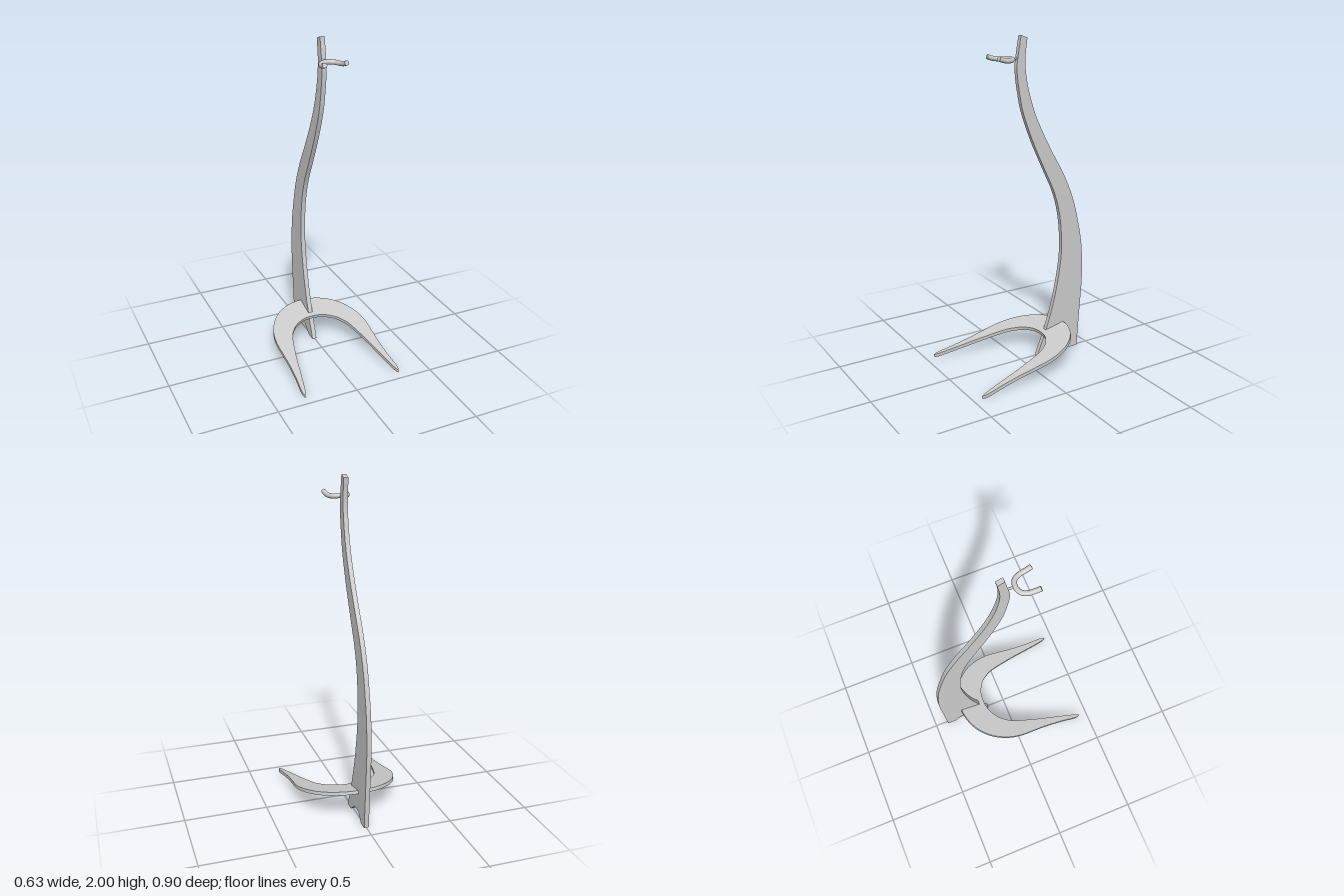
import * as THREE from 'three';
import { toCreasedNormals } from 'three/addons/utils/BufferGeometryUtils.js';

const material = new THREE.MeshStandardMaterial({ color: 0xcccccc });
const vecs = (pts) => pts.map(([a, b]) => new THREE.Vector2(a, b));

function part(name, geometry, parent) {
  const mesh = new THREE.Mesh(geometry, material);
  mesh.name = name;
  parent.add(mesh);
  return mesh;
}

// Flat board of the given thickness, centred on its cut plane, with smooth curved edges
function board(shape, thickness) {
  const g = new THREE.ExtrudeGeometry(shape, { depth: thickness, bevelEnabled: false, curveSegments: 5 });
  return toCreasedNormals(g.translate(0, 0, -thickness / 2), 0.5);
}

// Curved upright: profile points are (z, y)
function makeSpine() {
  const front = [[0.03, 1.85], [0.03, 1.78], [0.016, 1.68], [-0.01, 1.56], [-0.074, 1.39], [-0.153, 1.22],
    [-0.233, 1.05], [-0.275, 0.89], [-0.29, 0.7], [-0.275, 0.535], [-0.233, 0.333], [-0.175, 0.15], [-0.115, 0]];
  const back = [[-0.434, 0.23], [-0.45, 0.48], [-0.44, 0.69], [-0.407, 0.86], [-0.365, 1.01], [-0.296, 1.164],
    [-0.217, 1.3], [-0.145, 1.434], [-0.085, 1.566], [-0.042, 1.71], [-0.023, 1.85], [-0.037, 1.985]];
  const s = new THREE.Shape();
  s.moveTo(0.005, 2);
  s.splineThru(vecs(front));
  // notch between the two feet of the upright
  for (const [z, y] of [[-0.175, 0], [-0.243, 0.053], [-0.312, 0.053], [-0.36, 0], [-0.418, 0]]) s.lineTo(z, y);
  s.splineThru(vecs(back));
  s.closePath();
  return board(s, 0.028).rotateY(-Math.PI / 2);
}

// Horseshoe leg: half plan points are (x, z), mirrored, then tilted down to the front
function makeLeg() {
  const tilt = 0.222;
  const outer = [[0, -0.31], [0.075, -0.302], [0.15, -0.273], [0.21, -0.228], [0.26, -0.165], [0.295, -0.085],
    [0.31, 0], [0.308, 0.1], [0.305, 0.2], [0.309, 0.32], [0.317, 0.41], [0.309, 0.447]];
  const inner = [[0.295, 0.415], [0.268, 0.29], [0.239, 0.15], [0.2, 0], [0.172, -0.055], [0.134, -0.1],
    [0.07, -0.137], [0, -0.147]];
  const flat = (pts) => vecs(pts.map(([x, z]) => [x, -z / Math.cos(tilt)]));
  const mirror = (pts) => pts.map(([x, z]) => [-x, z]).reverse();
  const s = new THREE.Shape();
  s.moveTo(-0.309, -0.447 / Math.cos(tilt));
  s.splineThru(flat([...mirror(outer).slice(1), ...outer.slice(1)]));
  s.splineThru(flat([...inner, ...mirror(inner).slice(1), [-0.309, 0.447]]));
  return board(s, 0.021).rotateX(-Math.PI / 2 + tilt).translate(0, 0.111, 0);
}

// Forked cradle with a short stem
function makeCradle() {
  const cradle = new THREE.Group();
  cradle.name = 'cradle';
  const half = [[0.065, 1.884, 0.18], [0.061, 1.873, 0.145], [0.055, 1.868, 0.108], [0.036, 1.869, 0.076]];
  const pts = [...half, [0, 1.871, 0.065], ...half.map(([x, y, z]) => [-x, y, z]).reverse()];
  const curve = new THREE.CatmullRomCurve3(pts.map((p) => new THREE.Vector3(...p)));
  part('fork', new THREE.TubeGeometry(curve, 40, 0.014, 16), cradle);
  // end caps of the fork
  for (const t of [0, 1]) {
    const cap = part(t ? 'rightForkEnd' : 'leftForkEnd', new THREE.CircleGeometry(0.014, 16), cradle);
    cap.position.copy(curve.getPoint(t));
    const out = curve.getTangent(t).multiplyScalar(t ? 1 : -1);
    cap.quaternion.setFromUnitVectors(new THREE.Vector3(0, 0, 1), out);
  }
  const stem = part('stem', new THREE.CylinderGeometry(0.007, 0.007, 0.05, 12), cradle);
  stem.rotation.x = Math.PI / 2;
  stem.position.set(0, 1.871, 0.04);
  return cradle;
}

export function createModel() {
  const model = new THREE.Group();
  model.name = 'instrumentStand';
  part('spine', makeSpine(), model);
  part('horseshoeLeg', makeLeg(), model);
  model.add(makeCradle());
  return model;
}
